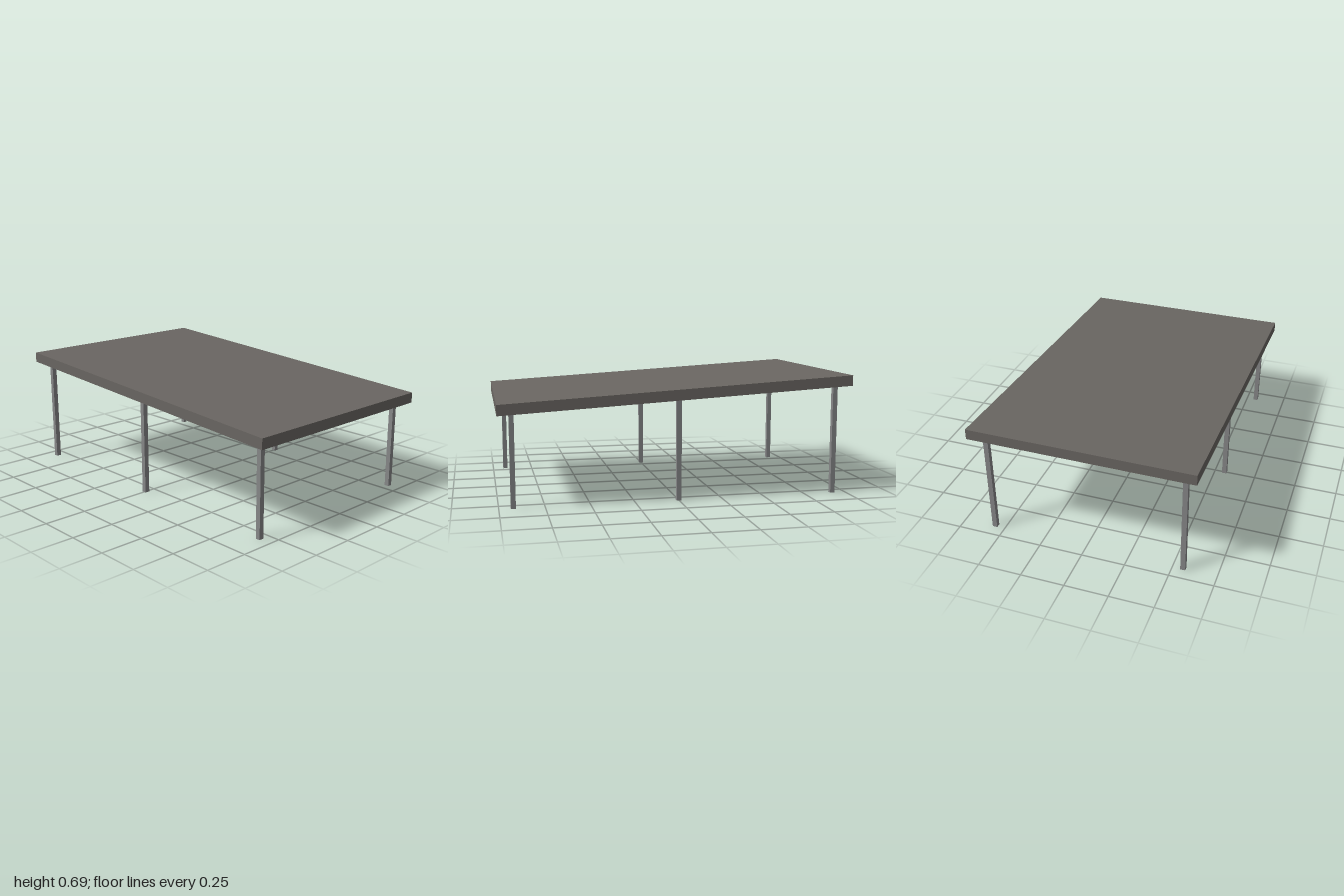
import * as THREE from 'three';

const W = 1.27, L = 2, SKIRT = 0.06, T = 0.005;
const SLOPE = -0.058; // roof falls towards the front
const topAt = (z) => 0.634 + SLOPE * z;

// Box whose heights follow the roof slope; y is measured from the roof top
function slopedBox(w, h, d, x, y, z) {
  const g = new THREE.BoxGeometry(w, h, d).translate(x, y, z);
  const p = g.attributes.position;
  for (let i = 0; i < p.count; i++) p.setY(i, p.getY(i) + topAt(p.getZ(i)));
  g.computeVertexNormals();
  return g;
}

export function createModel() {
  const model = new THREE.Group();
  model.name = 'canopy';
  const roofMat = new THREE.MeshStandardMaterial({ color: 0x6a6662 });
  roofMat.name = 'warm grey roof';
  const steelMat = new THREE.MeshStandardMaterial({ color: 0x868788 });
  steelMat.name = 'grey steel';

  const add = (name, geometry, material) => {
    const mesh = new THREE.Mesh(geometry, material);
    mesh.name = name;
    model.add(mesh);
    return mesh;
  };

  // Roof sheet, open underneath
  add('roofPanel', slopedBox(W, T, L, 0, -T / 2, 0), roofMat);

  for (const s of [-1, 1]) {
    const side = s > 0 ? 'left' : 'right';
    // Thin skirt boards around the roof edge
    const h = SKIRT - T, y = -T - h / 2;
    add(side + 'Skirt', slopedBox(T, h, L, s * (W - T) / 2, y, 0), roofMat);
    add(s > 0 ? 'frontSkirt' : 'backSkirt',
      slopedBox(W - 2 * T, h, T, 0, y, s * (L - T) / 2), roofMat);

    // Rail under the sheet, carried by three posts
    add(side + 'Rail', slopedBox(0.02, 0.02, 1.84, s * 0.56, -T - 0.01, 0), steelMat);
    [['Front', 0.922], ['Middle', 0], ['Back', -0.922]].forEach(([place, z]) => {
      const height = topAt(z) - T;
      add(side + place + 'Post',
        new THREE.BoxGeometry(0.028, height, 0.027).translate(s * 0.56, height / 2, z), steelMat);
    });
  }
  return model;
}
